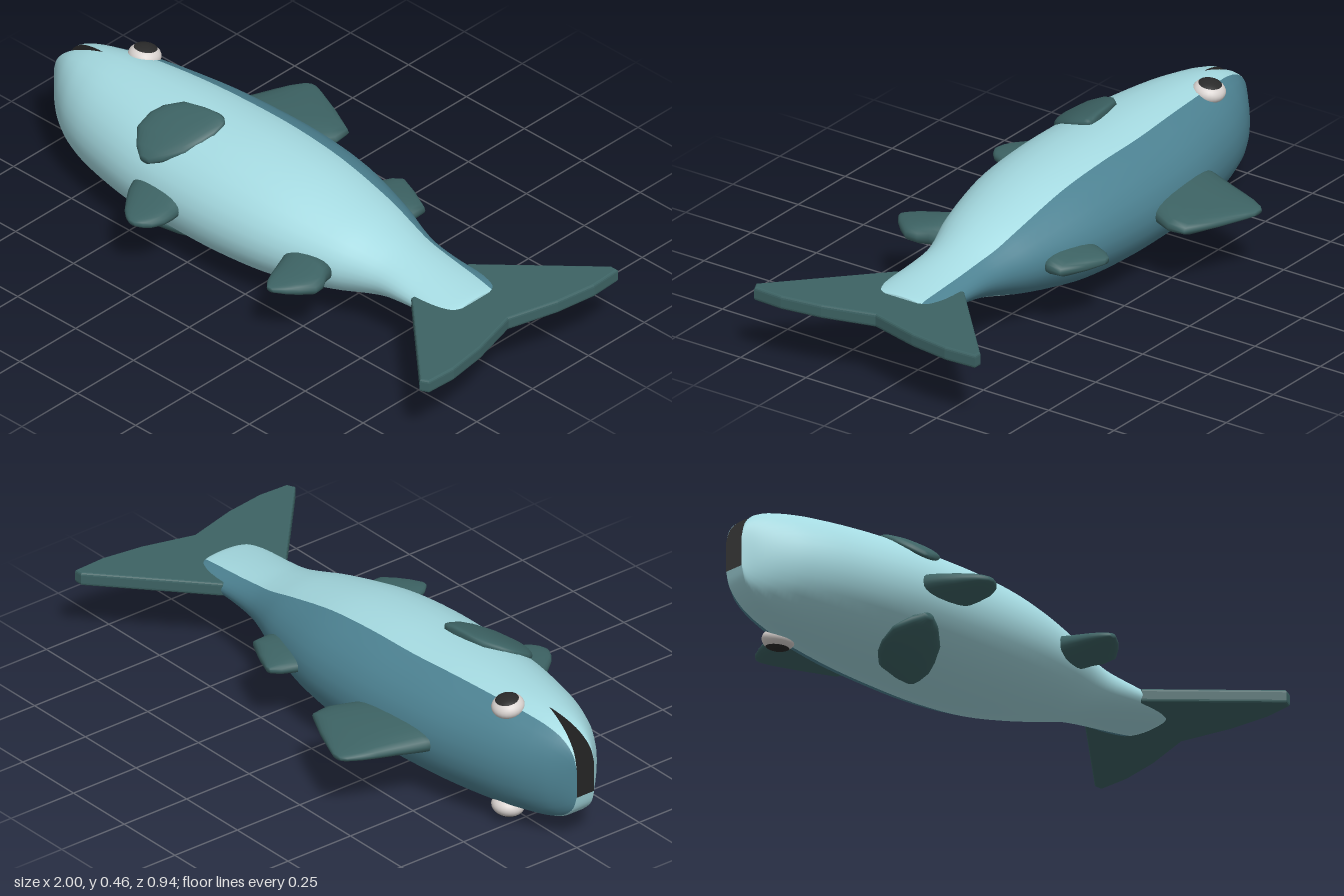
import * as THREE from 'three';
import { mergeVertices } from 'three/addons/utils/BufferGeometryUtils.js';

const MID_Y = 0.233; // height of the fish's plane of symmetry
const MID_Z = 0.035; // line along the flank
const MOUTH_X = -0.82; // corner of the mouth

const mat = (name, color, side = THREE.FrontSide) => {
  const m = new THREE.MeshStandardMaterial({ color, side });
  m.name = name;
  return m;
};

// Skin a list of rings (arrays of [x, y, z]); materialOf(column) picks the group
function skin(rings, materialOf = () => 0) {
  const n = rings[0].length;
  const geo = new THREE.BufferGeometry();
  geo.setAttribute('position', new THREE.Float32BufferAttribute(rings.flat(2), 3));
  const lists = [[], []];
  for (let j = 0; j < n - 1; j++) {
    for (let i = 0; i < rings.length - 1; i++) {
      const a = i * n + j, b = a + n;
      lists[materialOf(j)].push(a, b, a + 1, b, b + 1, a + 1);
    }
  }
  geo.setIndex(lists.flat());
  geo.addGroup(0, lists[0].length, 0);
  if (lists[1].length) geo.addGroup(lists[0].length, lists[1].length, 1);
  const merged = mergeVertices(geo, 1e-5);
  merged.computeVertexNormals();
  return merged;
}

// Body stations: x, back z, belly z, half width, colour border z
const stations = [
  [-1, 0, 0.07, 0.05, 0],
  [-0.985, -0.015, 0.085, 0.098, -0.002],
  [-0.95, -0.045, 0.12, 0.135, -0.006],
  [-0.9, -0.082, 0.16, 0.162, -0.014],
  [-0.82, -0.125, 0.208, 0.184, -0.028],
  [-0.7, -0.167, 0.252, 0.198, -0.048],
  [-0.5, -0.213, 0.295, 0.207, -0.07],
  [-0.3, -0.234, 0.309, 0.207, -0.085],
  [-0.1, -0.238, 0.309, 0.203, -0.088],
  [0.1, -0.222, 0.288, 0.183, -0.085],
  [0.3, -0.17, 0.235, 0.14, -0.078],
  [0.42, -0.125, 0.188, 0.105, -0.067],
  [0.5, -0.103, 0.167, 0.083, -0.056],
  [0.6, -0.096, 0.165, 0.063, -0.05],
  [0.7, -0.098, 0.167, 0.046, -0.045],
  [0.77, -0.092, 0.162, 0.034, -0.04],
  [0.79, -0.072, 0.143, 0.028, -0.04],
];

function sampleBody() {
  const curves = [1, 2, 3, 4].map(
    (k) => new THREE.SplineCurve(stations.map((s) => new THREE.Vector2(s[0], s[k]))));
  const count = (stations.length - 1) * 4;
  return Array.from({ length: count + 1 }, (_, i) => {
    const p = curves.map((c) => c.getPoint(i / count));
    const x = p[0].x;
    const open = 0.035 * THREE.MathUtils.clamp((MOUTH_X - x) / 0.18, 0, 1);
    return { x, top: p[0].y, bottom: p[1].y, w: p[2].y, border: p[3].y,
      upperLip: MID_Z - open, lowerLip: MID_Z + open };
  });
}

// One body section: flank, back, flank, then belly
function bodyRing(s) {
  const h = s.upperLip - s.top;
  const edge = h > 0.001 ? Math.asin(THREE.MathUtils.clamp((s.upperLip - s.border) / h, 0.01, 0.99)) : 0.1;
  const ring = [];
  const arc = (from, to, steps, centre, height, first) => {
    for (let k = first; k <= steps; k++) {
      const a = from + (to - from) * (k / steps);
      ring.push([s.x, MID_Y + s.w * Math.cos(a), centre - height * Math.sin(a)]);
    }
  };
  arc(0, edge, 3, s.upperLip, h, 0);
  arc(edge, Math.PI - edge, 10, s.upperLip, h, 1);
  arc(Math.PI - edge, Math.PI, 3, s.upperLip, h, 1);
  arc(Math.PI, 2 * Math.PI, 16, s.lowerLip, s.bottom - s.lowerLip, 0);
  return ring;
}

// Lens-shaped fin from rows of [z, x0, x1, half thickness], z ascending
function finGeometry(rows, yAt = () => 0) {
  const N = 20;
  const round = (v) => Math.sign(v) * Math.abs(v) ** 0.8;
  const rings = rows.map(([z, x0, x1, t]) => Array.from({ length: N + 1 }, (_, k) => {
    const a = -(k % N) / N * Math.PI * 2;
    return [(x0 + x1) / 2 + (x1 - x0) / 2 * round(Math.cos(a)),
      MID_Y + yAt(z) + t * round(Math.sin(a)), z];
  }));
  const cap = ([z, x0, x1]) => Array.from({ length: N + 1 }, () => [(x0 + x1) / 2, MID_Y + yAt(z), z]);
  // rings run clockwise about +z, so the skin faces outward
  return skin([cap(rows[0]), ...rings, cap(rows[rows.length - 1])]);
}

export function createModel() {
  const fish = new THREE.Group();
  fish.name = 'fish';
  const belly = mat('pale belly blue', 0xa5dae1);
  const back = mat('back blue', 0x4d8292);
  const finMat = mat('fin teal', 0x3d6364);
  const white = mat('eye white', 0xd9d3d0);
  const black = mat('black', 0x2a2a2a, THREE.DoubleSide);
  const add = (name, geo, material, parent = fish) => {
    const mesh = new THREE.Mesh(geo, material);
    mesh.name = name;
    parent.add(mesh);
    return mesh;
  };

  // Body with a dark back and a closed tail end
  const samples = sampleBody();
  const rings = samples.map(bodyRing);
  rings.push(rings[0].map(() => [0.793, MID_Y, MID_Z]));
  add('body', skin(rings, (j) => (j >= 3 && j < 13 ? 1 : 0)), [belly, back]);

  // Roof and floor of the mouth
  const jaw = samples.filter((s) => s.x <= MOUTH_X + 0.001);
  for (const lip of ['upperLip', 'lowerLip']) {
    const strip = jaw.map((s) => [-1, 1].map((k) => [s.x, MID_Y + k * s.w, s[lip]]));
    add(lip === 'upperLip' ? 'mouthRoof' : 'mouthFloor', skin(strip), black);
  }

  // Fins on the midline
  add('dorsalFin', finGeometry([
    [-0.474, -0.42, -0.38, 0.008], [-0.46, -0.435, -0.345, 0.013], [-0.42, -0.458, -0.25, 0.02],
    [-0.37, -0.477, -0.15, 0.028], [-0.31, -0.498, -0.145, 0.034], [-0.22, -0.53, -0.19, 0.045],
    [-0.15, -0.55, -0.22, 0.05]]), finMat);
  add('rearDorsalFin', finGeometry([
    [-0.296, 0.145, 0.17, 0.01], [-0.27, 0.122, 0.235, 0.02], [-0.23, 0.105, 0.315, 0.028],
    [-0.18, 0.09, 0.315, 0.035], [-0.13, 0.09, 0.29, 0.038]]), finMat);
  add('pelvicFin', finGeometry([
    [0.26, -0.46, -0.22, 0.045], [0.3, -0.44, -0.23, 0.04], [0.34, -0.42, -0.223, 0.034],
    [0.38, -0.39, -0.223, 0.028], [0.42, -0.357, -0.238, 0.02], [0.44, -0.333, -0.258, 0.014],
    [0.452, -0.31, -0.28, 0.008]]), finMat);
  add('analFin', finGeometry([
    [0.2, 0.15, 0.34, 0.042], [0.25, 0.172, 0.35, 0.04], [0.28, 0.185, 0.37, 0.036],
    [0.32, 0.2, 0.375, 0.03], [0.36, 0.215, 0.345, 0.022], [0.39, 0.23, 0.315, 0.015],
    [0.415, 0.252, 0.28, 0.008]]), finMat);

  // Tail fin: forked plate with softened edges
  const outline = [[0.64, -0.09], [0.965, -0.385], [0.985, -0.385], [0.99, -0.28], [0.97, -0.14],
    [0.922, 0.035], [0.97, 0.21], [0.99, 0.35], [0.985, 0.45], [0.965, 0.46], [0.64, 0.16]];
  const tail = new THREE.ExtrudeGeometry(
    new THREE.Shape(outline.map(([x, z]) => new THREE.Vector2(x, -z))),
    { depth: 0.026, bevelThickness: 0.01, bevelSize: 0.007, bevelSegments: 3 });
  tail.translate(0, 0, -0.013).rotateX(-Math.PI / 2).translate(0, MID_Y, 0);
  add('tailFin', tail, finMat);

  // Paired pectoral fins and eyes
  for (const side of [1, -1]) {
    const label = side > 0 ? 'upper' : 'lower';
    add(label + 'PectoralFin', finGeometry([
      [0.067, -0.31, -0.265, 0.015], [0.075, -0.365, -0.255, 0.02], [0.09, -0.43, -0.25, 0.022],
      [0.13, -0.472, -0.248, 0.022], [0.17, -0.492, -0.262, 0.022], [0.22, -0.495, -0.288, 0.022],
      [0.265, -0.455, -0.34, 0.02], [0.286, -0.42, -0.38, 0.012]],
    (z) => side * (0.216 - 1.35 * z * z)), finMat);

    const eye = new THREE.Group();
    eye.name = label + 'Eye';
    eye.position.set(-0.725, MID_Y + side * 0.177, -0.052);
    eye.rotation.x = side > 0 ? -0.17 : Math.PI + 0.17;
    eye.scale.y = 0.65;
    add('eyeball', new THREE.SphereGeometry(0.053, 24, 16), white, eye);
    add('pupil', new THREE.SphereGeometry(0.0545, 24, 8, 0, Math.PI * 2, 0, 0.76), black, eye);
    fish.add(eye);
  }
  return fish;
}
